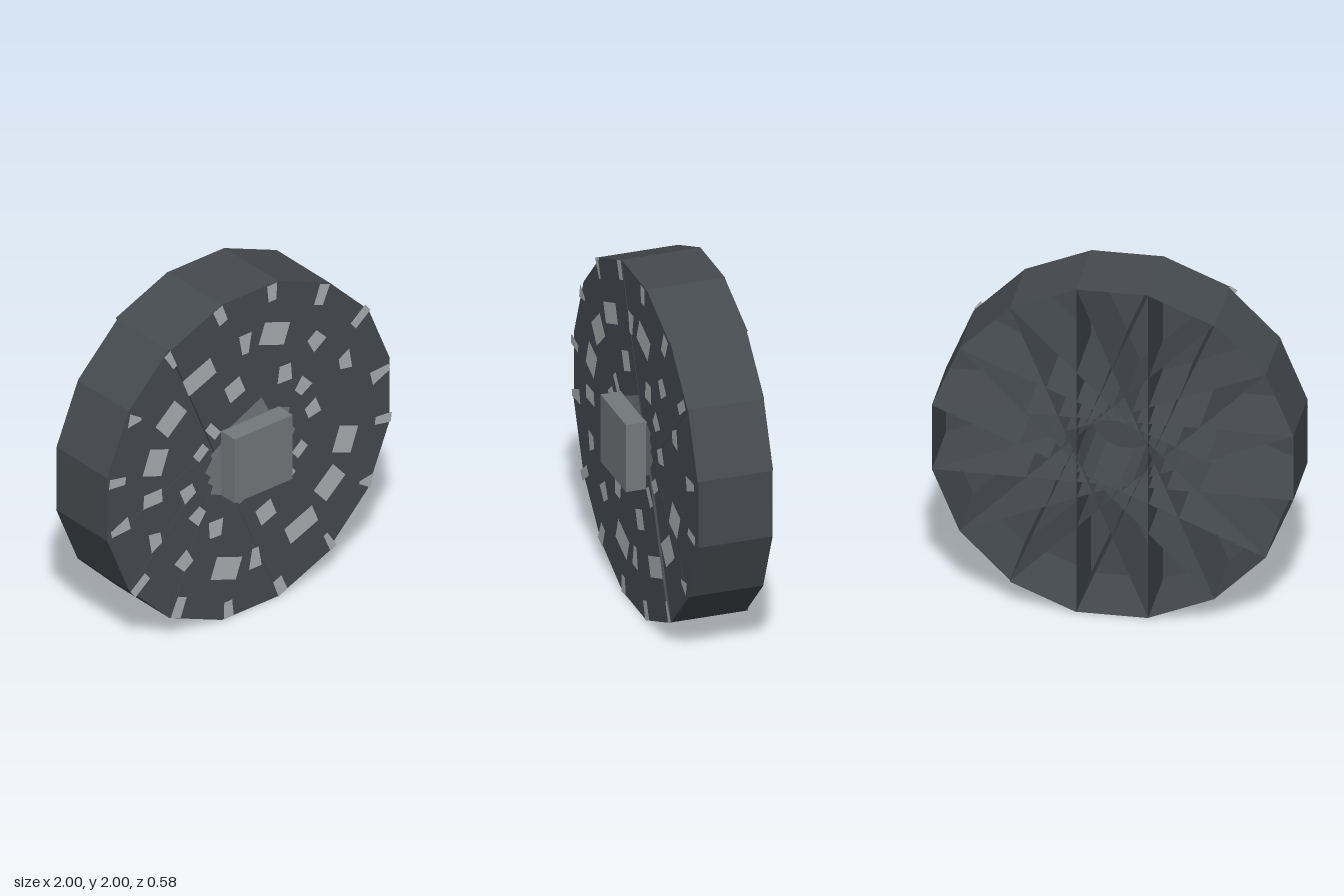
import * as THREE from 'three';

export function createModel() {
  const model = new THREE.Group();
  const material = (name, color) => new THREE.MeshStandardMaterial({ name, color, side: THREE.DoubleSide });
  const darkMetal = material('dark metal', 0x464b50);
  const hubGrey = material('hub grey', 0x74797c);
  const paleStone = material('pale stone', 0xacb0b2);

  const wheel = new THREE.Group();
  wheel.name = 'wheel';
  wheel.position.y = 1;
  model.add(wheel);

  const add = (name, geometry, mat, z) => {
    const mesh = new THREE.Mesh(geometry, mat);
    mesh.name = name;
    mesh.position.z = z;
    wheel.add(mesh);
    return mesh;
  };

  // Eight crossed troughs, open at the back, whose ends form a 16-sided rim.
  // Each has its own depth, so the faces overlap in shallow steps.
  const width = 2 * Math.tan(Math.PI / 16);
  const halfDepths = [0.228, 0.2305, 0.2165, 0.2155, 0.215, 0.2185, 0.221, 0.2255];
  halfDepths.forEach((half, i) => {
    const geometry = new THREE.BoxGeometry(width, 2, 2 * half);
    geometry.setIndex([...geometry.index.array].slice(0, 30)); // drop the back face
    geometry.clearGroups();
    add('wheelTrough' + (i + 1), geometry, darkMetal, -0.0575).rotation.z = i * Math.PI / 8;
  });

  // Square hub block
  add('hubBlock', new THREE.BoxGeometry(0.41, 0.405, 0.125), hubGrey, 0.2275);

  // Jagged plate behind the hub: half an outline, repeated by a half turn
  const half = [
    [0.08, 0.31], [0.13, 0.21], [0.21, 0.2], [0.28, 0.17], [0.265, 0.12], [0.3, 0.09],
    [0.28, 0.06], [0.32, 0.02], [0.27, -0.05], [0.28, -0.08], [0.21, -0.12], [0.2, -0.18], [0.13, -0.21],
  ];
  const outline = [1, -1].flatMap((s) => half.map(([x, y]) => new THREE.Vector2(s * x, s * y)));
  add('hubPlate', new THREE.ShapeGeometry(new THREE.Shape(outline)), hubGrey, 0.1745);

  // Pale patches: centre x, centre y, width, height, turn in degrees, inner-edge taper
  const facePatches = [
    [-0.36, 0.605, 0.21, 0.12, 22, 1],
    [0.17, 0.68, 0.19, 0.135, -20, 1],
    [-0.56, 0.415, 0.18, 0.135, 41, 1],
    [-0.67, 0.18, 0.14, 0.16, -20, 1],
    [0.67, 0.315, 0.125, 0.08, -80, 0.55],
    [0.44, 0.1, 0.105, 0.09, -68, 0.7],
    [0.465, 0.525, 0.08, 0.1, 36, 1.35],
    [-0.11, 0.43, 0.115, 0.115, 22, 1],
    [0.245, 0.4, 0.08, 0.105, -2, 1.3],
    [0.37, 0.27, 0.105, 0.09, -47, 0.65],
    [-0.35, 0.12, 0.09, 0.07, 40, 1],
    [-0.035, 0.69, 0.09, 0.125, 0, 0.5],
    [-0.265, 0.225, 0.055, 0.11, 40, 1],
  ];
  const rimPatches = [
    [-0.21, 0.935, 0.07, 0.11, 22, 0.9],
    [0.155, 0.945, 0.07, 0.105, 2, 0.8],
    [0.505, 0.8, 0.075, 0.125, -22, 0.9],
    [0.78, 0.555, 0.06, 0.13, -52, 1],
    [0.92, 0.145, 0.04, 0.13, -76, 2.2],
    [0.94, -0.155, 0.06, 0.115, -98, 0.8],
    [-0.815, 0.505, 0.085, 0.09, 78, 0.2],
    [-0.56, 0.785, 0.05, 0.12, 28, 0.6],
  ];
  const addPatch = (name, [x, y, w, h, degrees, taper], flip) => {
    const a = w / 2, b = (w * taper) / 2;
    const corners = [[-b, -h / 2], [b, -h / 2], [a, h / 2], [-a, h / 2]];
    const shape = new THREE.Shape(corners.map(([u, v]) => new THREE.Vector2(u, v)));
    const geometry = new THREE.ShapeGeometry(shape)
      .rotateZ(THREE.MathUtils.degToRad(degrees))
      .translate(x, y, 0)
      .rotateZ(flip ? Math.PI : 0);
    add(name, geometry, paleStone, 0.176);
  };
  for (const flip of [false, true]) {
    facePatches.forEach((p) => addPatch('facePatch', p, flip));
    rimPatches.forEach((p) => addPatch('rimPatch', p, flip));
  }
  addPatch('facePatch', [-0.69, -0.042, 0.125, 0.085, 0, 1.1], false);

  return model;
}
